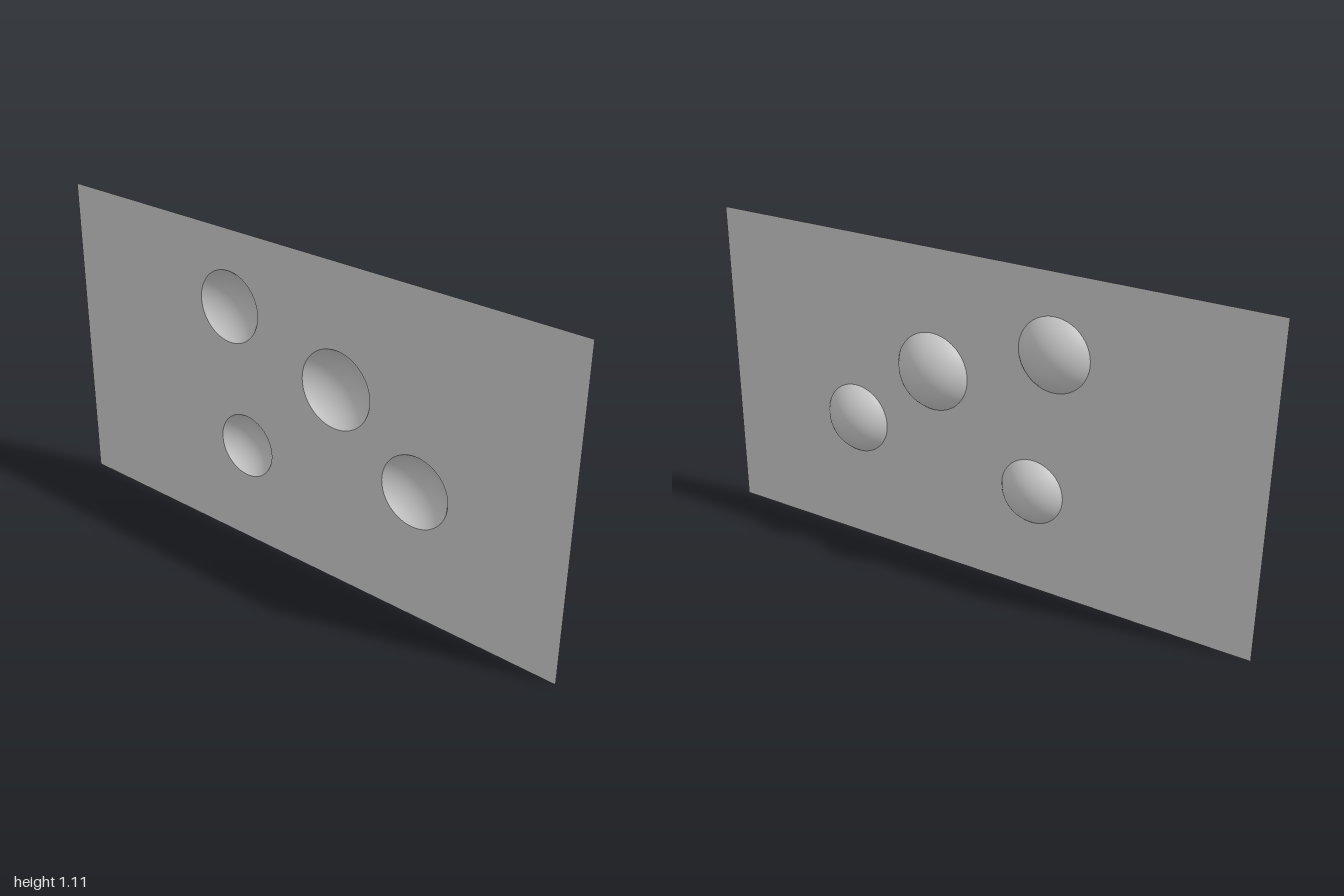
import * as THREE from 'three';

const WIDTH = 2, HEIGHT = 1.11, SHEET_Z = 0.038, SEGMENTS = 64;

// Dents: centre x, centre y, rim radius, depth
const DENTS = [
  [-0.29, 0.845, 0.124, 0.064],
  [0.154, 0.69, 0.134, 0.076],
  [0.465, 0.447, 0.123, 0.068],
  [-0.225, 0.359, 0.112, 0.063],
];

// Spherical cap, open towards +z and bulging towards -z
function dentGeometry(radius, depth) {
  const sphere = (radius * radius + depth * depth) / (2 * depth);
  const rimAngle = Math.asin(radius / sphere);
  const profile = [];
  for (let i = 0; i <= 16; i++) {
    const a = rimAngle * (1 - i / 16);
    profile.push(new THREE.Vector2(sphere * Math.sin(a), sphere * Math.cos(a) - sphere + depth));
  }
  return new THREE.LatheGeometry(profile, SEGMENTS).rotateX(-Math.PI / 2);
}

export function createModel() {
  const model = new THREE.Group();
  model.name = 'dentedSheet';
  const grey = new THREE.MeshStandardMaterial({ color: 0xcccccc, side: THREE.DoubleSide });
  grey.name = 'light grey';

  // Flat sheet outline
  const outline = new THREE.Shape();
  outline.moveTo(-WIDTH / 2, 0);
  outline.lineTo(WIDTH / 2, 0);
  outline.lineTo(WIDTH / 2, HEIGHT);
  outline.lineTo(-WIDTH / 2, HEIGHT);
  outline.closePath();

  // Each dent cuts a round hole and fills it with a bowl
  DENTS.forEach(([x, y, radius, depth], i) => {
    const hole = new THREE.Path();
    hole.absarc(x, y, radius, 0, Math.PI * 2, true);
    outline.holes.push(hole);
    const dent = new THREE.Mesh(dentGeometry(radius, depth), grey);
    dent.name = `dent${i + 1}`;
    dent.position.set(x, y, SHEET_Z);
    model.add(dent);
  });

  const sheet = new THREE.Mesh(new THREE.ShapeGeometry(outline, SEGMENTS / 2), grey);
  sheet.name = 'sheet';
  sheet.position.z = SHEET_Z;
  model.add(sheet);
  return model;
}
